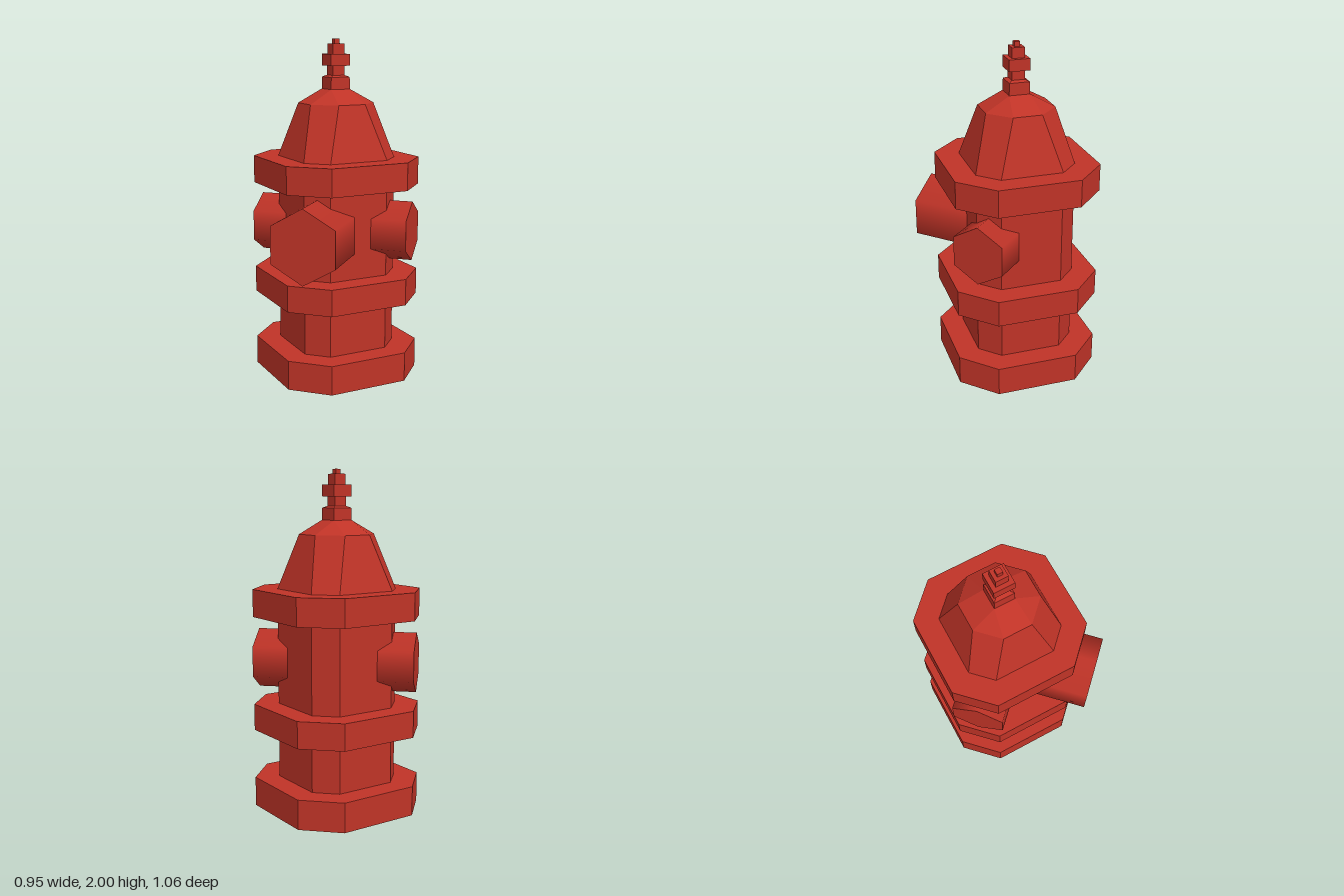
import * as THREE from 'three';

const AXIS_Z = -0.055;
const red = new THREE.MeshStandardMaterial({ color: 0xbf3327 });
red.name = 'hydrant red';

// Octagon corners: half = distance to the main sides, side = half the main side's length
const octagon = (half, side) => [
  [half, side], [side, half], [-side, half], [-half, side],
  [-half, -side], [-side, -half], [side, -half], [half, -side],
];

// Flat-shaded loft through rings of equal point count, closed at both ends
function loft(rings) {
  const pos = [];
  const n = rings[0].points.length;
  const at = (r, i) => [r.points[i % n][0], r.y, r.points[i % n][1]];
  const same = (a, b) => a.every((v, k) => Math.abs(v - b[k]) < 1e-6);
  const tri = (a, b, c) => {
    if (!same(a, b) && !same(b, c) && !same(a, c)) pos.push(...a, ...b, ...c);
  };
  for (let k = 0; k + 1 < rings.length; k++) {
    for (let i = 0; i < n; i++) {
      const a = at(rings[k], i), b = at(rings[k], i + 1);
      const c = at(rings[k + 1], i + 1), d = at(rings[k + 1], i);
      tri(a, d, c);
      tri(a, c, b);
    }
  }
  const bottom = rings[0], top = rings[rings.length - 1];
  for (let i = 0; i < n; i++) {
    tri([0, bottom.y, 0], at(bottom, i), at(bottom, i + 1));
    tri([0, top.y, 0], at(top, i + 1), at(top, i));
  }
  const geometry = new THREE.BufferGeometry();
  geometry.setAttribute('position', new THREE.Float32BufferAttribute(pos, 3));
  geometry.computeVertexNormals();
  return geometry;
}

const prism = (half, side, y0, y1) =>
  loft([y0, y1].map((y) => ({ y, points: octagon(half, side) })));

// Six-sided outlet with smooth sides and flat ends
const outlet = (radius, length, start) =>
  new THREE.CylinderGeometry(radius, radius, length, 6, 1, false, start);

export function createModel() {
  const model = new THREE.Group();
  model.name = 'fireHydrant';
  const add = (name, geometry, x = 0, y = 0, z = 0) => {
    const mesh = new THREE.Mesh(geometry, red);
    mesh.name = name;
    mesh.position.set(x, y, AXIS_Z + z);
    model.add(mesh);
  };

  // Barrel and its three flanges
  add('barrel', prism(0.337, 0.08, 0.1, 1.25));
  add('baseFlange', prism(0.473, 0.133, 0, 0.175));
  add('middleFlange', prism(0.473, 0.133, 0.47, 0.627));
  add('topFlange', prism(0.473, 0.133, 1.15, 1.312));

  // Bonnet: octagon narrowing to a diamond, whose corners are paired octagon points
  add('bonnet', loft([
    { y: 1.312, points: octagon(0.337, 0.08) },
    { y: 1.63, points: octagon(0.205, 0.085) },
    { y: 1.71, points: octagon(0.087, 0) },
  ]));

  // Operating nut: stacked four-sided blocks, [bottom, top, bottom radius, top radius]
  const blocks = [
    [1.70, 1.78, 0.087, 0.085],
    [1.78, 1.79, 0.085, 0.055],
    [1.79, 1.845, 0.054, 0.054],
    [1.845, 1.912, 0.087, 0.087],
    [1.912, 1.972, 0.052, 0.052],
    [1.972, 2.0, 0.023, 0.023],
  ];
  blocks.forEach(([y0, y1, r0, r1], i) => {
    const block = new THREE.CylinderGeometry(r1, r0, y1 - y0, 4).toNonIndexed();
    block.computeVertexNormals();
    add('nutBlock' + (i + 1), block, 0, (y0 + y1) / 2, 0);
  });

  // Side outlets, mirrored, and the larger front outlet
  for (const [name, s] of [['leftOutlet', 1], ['rightOutlet', -1]]) {
    add(name, outlet(0.177, 0.273, Math.PI / 2).rotateZ(Math.PI / 2), s * 0.3365, 0.887, 0);
  }
  add('frontOutlet', outlet(0.218, 0.4, 0).rotateX(Math.PI / 2), 0, 0.887, 0.385);

  return model;
}
